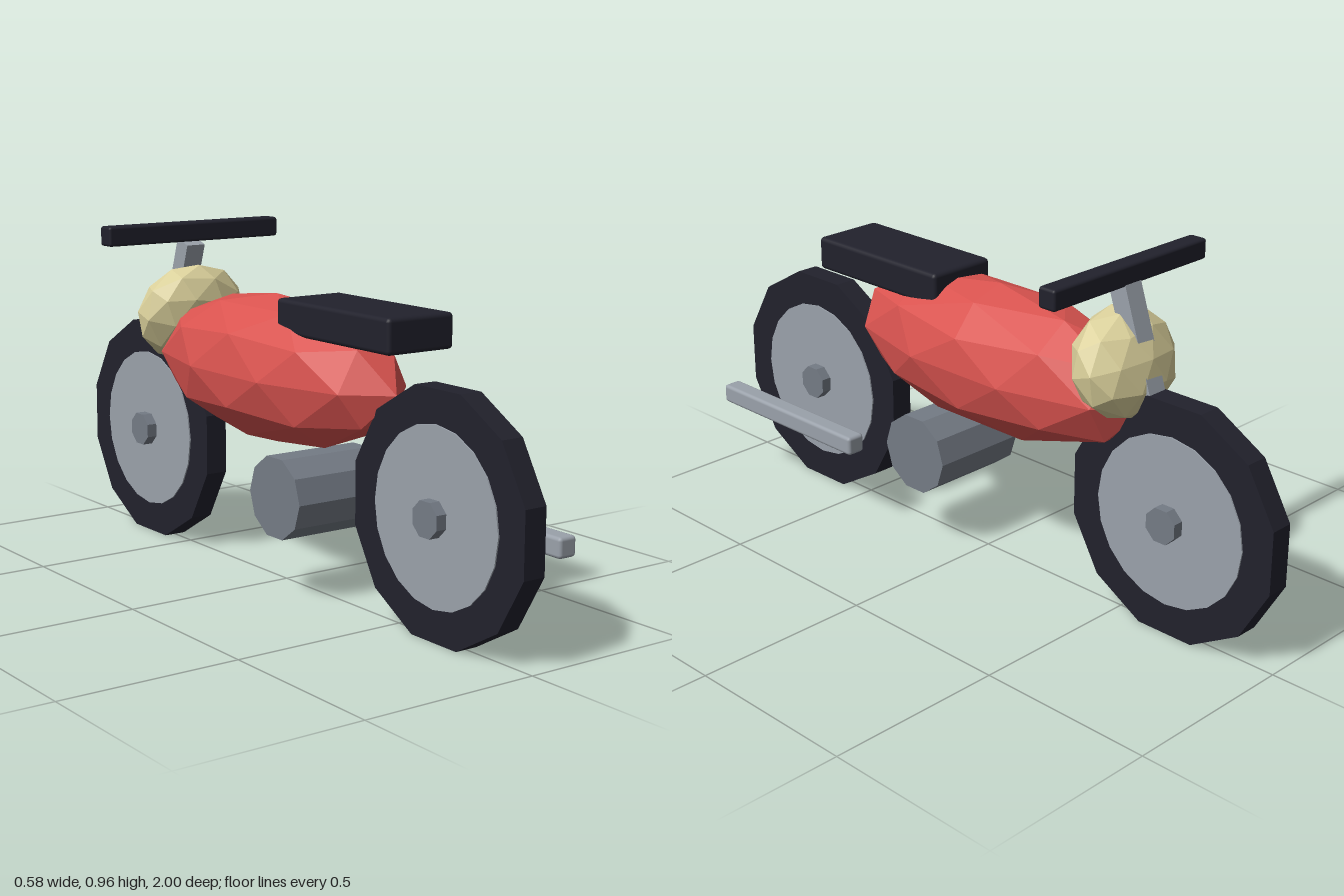
import * as THREE from 'three';
import { RoundedBoxGeometry } from 'three/addons/geometries/RoundedBoxGeometry.js';

const material = (name, color) => {
  const m = new THREE.MeshStandardMaterial({ color });
  m.name = name;
  return m;
};

// Give every face its own flat normal
function flat(geometry) {
  const g = geometry.index ? geometry.toNonIndexed() : geometry;
  g.computeVertexNormals();
  return g;
}

// Low-poly ball with a vertex at the top, stretched to the given radii
function ellipsoid(rx, ry, rz) {
  const g = new THREE.IcosahedronGeometry(1, 1);
  g.rotateZ(-Math.atan(2 / (1 + Math.sqrt(5))));
  g.scale(rx, ry, rz);
  return flat(g);
}

// Cylinder lying along x; turn is the angle of its first corner
function axle(radius, width, sides, turn = 0) {
  const g = new THREE.CylinderGeometry(radius, radius, width, sides, 1, false, turn);
  return flat(g.rotateZ(Math.PI / 2));
}

export function createModel() {
  const black = material('black rubber', 0x21212c);
  const red = material('red paint', 0xd9534f);
  const cream = material('cream paint', 0xd9cf9a);
  const silver = material('silver metal', 0x9aa1aa);
  const grey = material('grey metal', 0x747b85);

  const model = new THREE.Group();
  model.name = 'motorbike';
  const add = (name, geometry, mat, x, y, z, parent = model) => {
    const mesh = new THREE.Mesh(geometry, mat);
    mesh.name = name;
    mesh.position.set(x, y, z);
    parent.add(mesh);
    return mesh;
  };

  // Wheels: twelve-sided tyre, thin disc and hub
  const axleY = 0.322, axleZ = 0.676;
  for (const [name, z] of [['frontWheel', -axleZ], ['rearWheel', axleZ]]) {
    const wheel = new THREE.Group();
    wheel.name = name;
    wheel.position.set(0, axleY, z);
    model.add(wheel);
    add('tyre', axle(0.333, 0.066, 12, Math.PI / 12), black, 0, 0, 0, wheel);
    add('disc', axle(0.235, 0.074, 20), silver, 0, 0, 0, wheel);
    add('hub', axle(0.05, 0.135, 8, Math.PI / 8), grey, 0, 0, 0, wheel);
  }

  // Body and engine
  add('body', ellipsoid(0.191, 0.207, 0.525), red, 0, 0.592, -0.045);
  add('engine', axle(0.1145, 0.29, 10), grey, 0, 0.282, 0.147);

  // Seat, handlebar and exhaust with softened edges
  add('seat', new RoundedBoxGeometry(0.21, 0.094, 0.476, 2, 0.012), black, 0, 0.763, 0.337);
  add('handlebar', new RoundedBoxGeometry(0.576, 0.056, 0.054, 2, 0.008), black, 0, 0.935, -0.48);
  add('exhaust', new RoundedBoxGeometry(0.056, 0.055, 0.574, 2, 0.01), silver, 0.192, 0.263, 0.625);

  // Fork runs from the front hub up to the handlebar
  const topY = 0.905, topZ = -0.48;
  const tilt = Math.atan2(topZ + axleZ, topY - axleY);
  const length = Math.hypot(topZ + axleZ, topY - axleY);
  const fork = add('fork', new THREE.BoxGeometry(0.06, length, 0.055), silver,
    0, (topY + axleY) / 2, (topZ - axleZ) / 2);
  fork.rotation.x = tilt;

  // Headlamp leans with the fork
  const lamp = add('headlamp', ellipsoid(0.172, 0.15, 0.1), cream, 0, 0.697, -0.485);
  lamp.rotation.x = tilt;

  return model;
}
